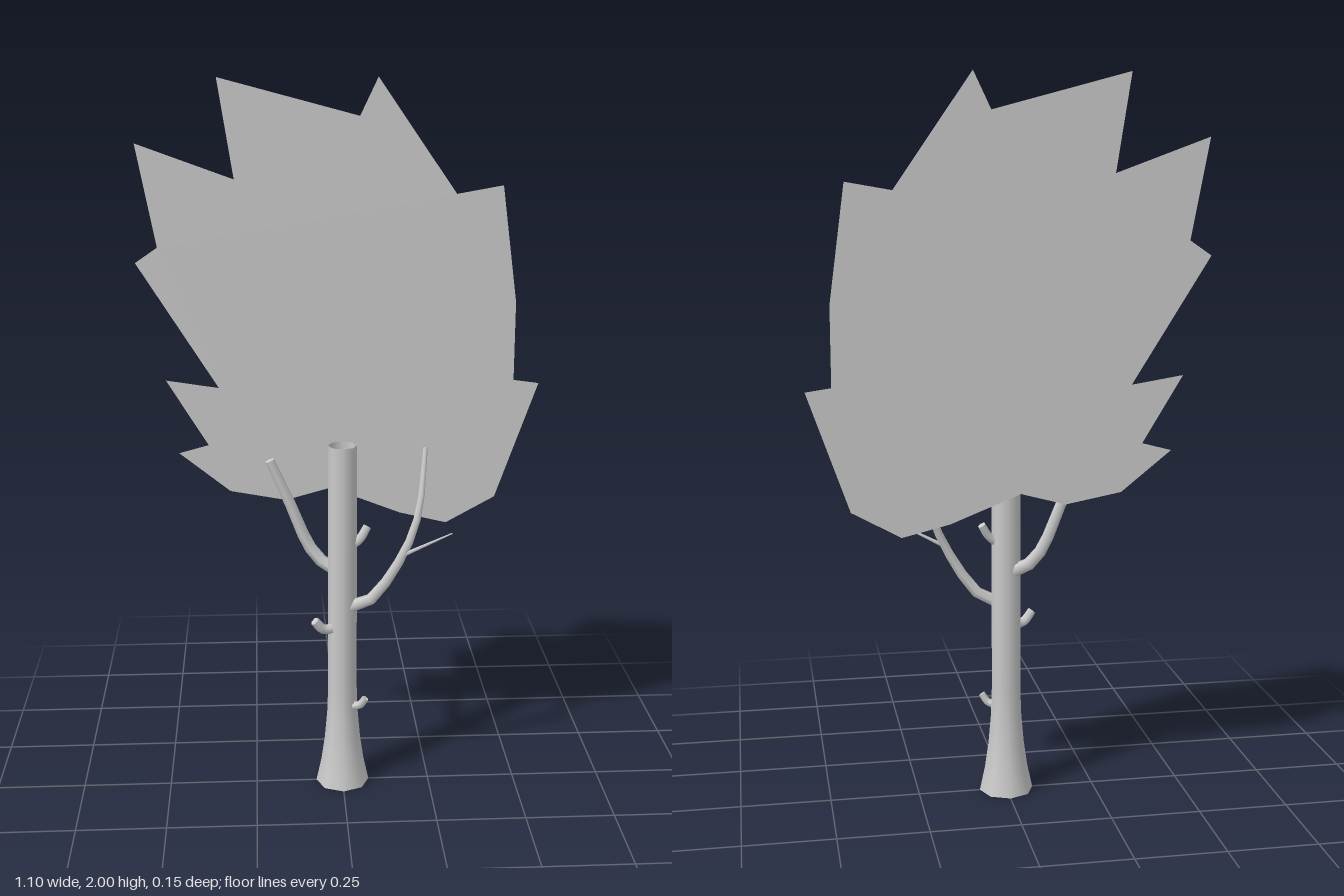
import * as THREE from 'three';

const bark = new THREE.MeshStandardMaterial({ color: 0xcccccc, side: THREE.DoubleSide });
const leaf = new THREE.MeshStandardMaterial({ color: 0xcccccc, side: THREE.DoubleSide });

// Tapered limb along a curve, closed with a flat cut at the tip
function limb(name, points, r0, r1) {
  const group = new THREE.Group();
  group.name = name;
  const curve = new THREE.CatmullRomCurve3(points.map(p => new THREE.Vector3(...p)), false, 'centripetal');
  const segs = points.length > 2 ? 8 : 1, sides = 6;
  const geo = new THREE.TubeGeometry(curve, segs, 1, sides);
  const pos = geo.attributes.position, v = new THREE.Vector3();
  for (let i = 0; i <= segs; i++) {
    const centre = curve.getPointAt(i / segs);
    const r = THREE.MathUtils.lerp(r0, r1, i / segs);
    for (let j = 0; j <= sides; j++) {
      const k = i * (sides + 1) + j;
      v.fromBufferAttribute(pos, k).sub(centre).multiplyScalar(r).add(centre);
      pos.setXYZ(k, v.x, v.y, v.z);
    }
  }
  const stem = new THREE.Mesh(geo, bark);
  stem.name = name + 'Stem';
  const tip = new THREE.Mesh(new THREE.CircleGeometry(r1, sides), bark);
  tip.name = name + 'Tip';
  tip.position.copy(curve.getPointAt(1));
  tip.quaternion.setFromUnitVectors(new THREE.Vector3(0, 0, 1), curve.getTangentAt(1));
  group.add(stem, tip);
  return group;
}

export function createModel() {
  const tree = new THREE.Group();
  tree.name = 'tree';

  // Hollow eight-sided trunk, flared at the foot
  const profile = [[0.076, 0], [0.061, 0.07], [0.051, 0.14], [0.044, 0.22], [0.041, 0.3], [0.04, 1.02]];
  const trunk = new THREE.Mesh(
    new THREE.LatheGeometry(profile.map(p => new THREE.Vector2(...p)), 8), bark);
  trunk.name = 'trunk';
  tree.add(trunk);

  // Main branches and twig
  tree.add(
    limb('rightBranch', [[-0.02, 0.65, -0.02], [-0.05, 0.664, -0.033], [-0.09, 0.71, -0.043], [-0.145, 0.84, -0.047], [-0.2, 0.965, -0.048]], 0.019, 0.014),
    limb('leftBranch', [[0.02, 0.55, 0.015], [0.072, 0.572, 0.03], [0.16, 0.7, 0.04], [0.208, 0.82, 0.026], [0.233, 1.0, -0.037]], 0.018, 0.007),
    limb('twig', [[0.163, 0.71, 0.042], [0.3, 0.78, 0.062]], 0.006, 0.002));

  // Short broken stubs
  tree.add(
    limb('rightStub', [[-0.02, 0.485, 0.012], [-0.055, 0.487, 0.025], [-0.08, 0.515, 0.033]], 0.016, 0.013),
    limb('upperStub', [[0.02, 0.725, 0], [0.048, 0.745, -0.003], [0.07, 0.78, -0.008]], 0.014, 0.012),
    limb('lowerStub', [[0.025, 0.245, 0.02], [0.048, 0.252, 0.031], [0.064, 0.275, 0.037]], 0.013, 0.01));

  // Flat jagged crown standing behind the trunk
  const outline = [
    [-0.325, 2], [0.05, 1.9], [0.098, 2], [0.31, 1.695], [0.435, 1.717], [0.478, 1.4],
    [0.478, 1.182], [0.548, 1.172], [0.433, 0.843], [0.297, 0.768], [0.165, 0.8], [-0.03, 0.877],
    [-0.155, 0.843], [-0.31, 0.872], [-0.45, 0.985], [-0.368, 1.007], [-0.48, 1.193], [-0.336, 1.17],
    [-0.552, 1.517], [-0.492, 1.558], [-0.543, 1.832], [-0.284, 1.737],
  ];
  const crown = new THREE.Mesh(
    new THREE.ShapeGeometry(new THREE.Shape(outline.map(p => new THREE.Vector2(...p)))), leaf);
  crown.name = 'crown';
  crown.position.z = -0.066;
  tree.add(crown);

  return tree;
}
